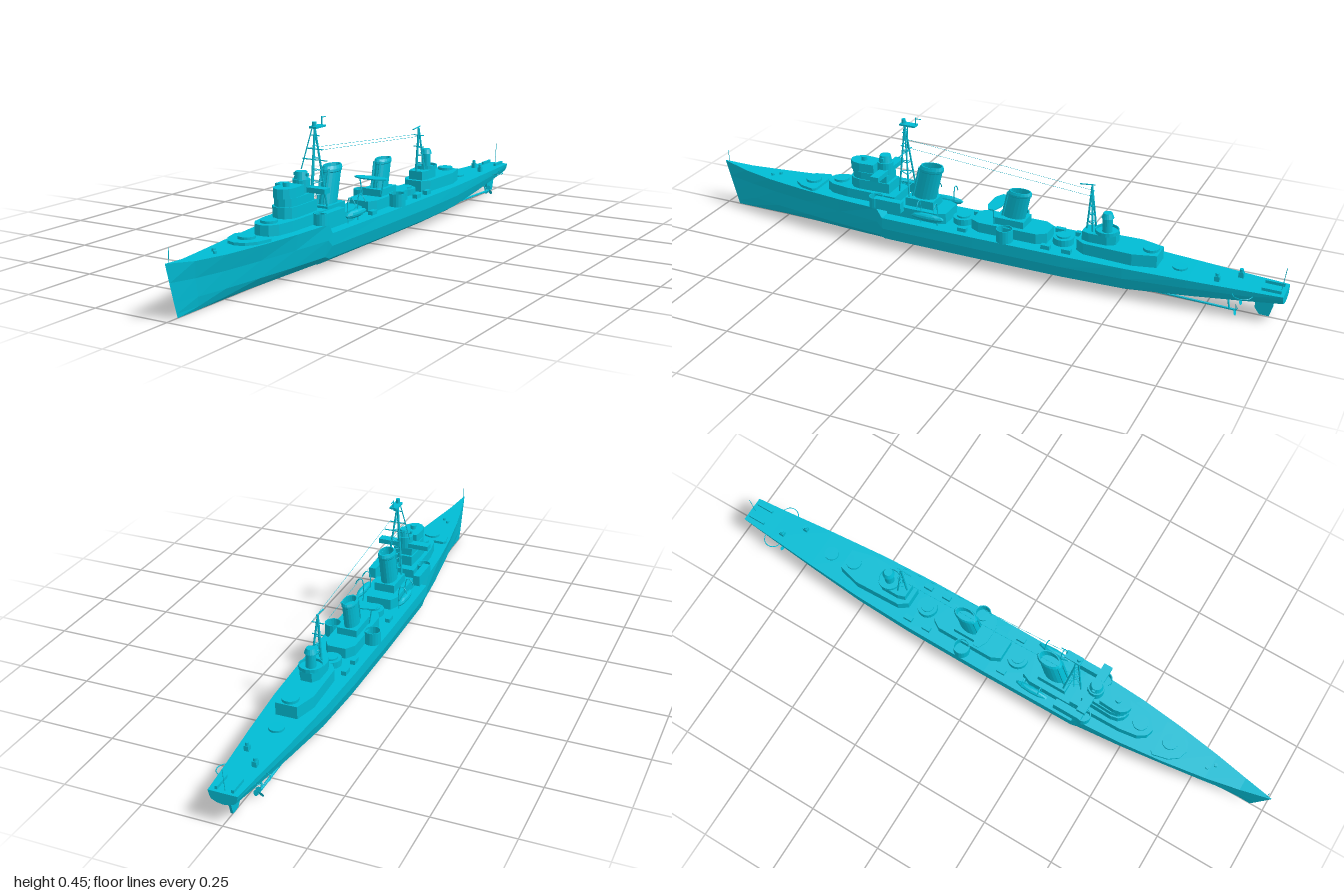
import * as THREE from 'three';

const mat = new THREE.MeshStandardMaterial({ color: 0x00bcd4, flatShading: true, side: THREE.DoubleSide });
const V = (x, y, z) => new THREE.Vector3(x, y, z);

export function createModel() {
  const ship = new THREE.Group();
  ship.name = 'warship';

  const add = (name, geo, x = 0, y = 0, z = 0) => {
    const m = new THREE.Mesh(geo, mat);
    m.name = name;
    m.position.set(x, y, z);
    ship.add(m);
    return m;
  };
  const box = (name, w, h, d, x, y, z) => add(name, new THREE.BoxGeometry(w, h, d), x, y + h / 2, z);
  const drum = (name, r, h, x, y, z, rTop = r, n = 18) =>
    add(name, new THREE.CylinderGeometry(rTop, r, h, n), x, y + h / 2, z);
  const rod = (name, a, b, r) => {
    const d = b.clone().sub(a);
    const m = add(name, new THREE.CylinderGeometry(r, r, d.length(), 6));
    m.position.copy(a).add(b).multiplyScalar(0.5);
    m.quaternion.setFromUnitVectors(V(0, 1, 0), d.normalize());
    return m;
  };
  // symmetric block extruded upwards from a half outline of [x, z]
  const house = (name, half, y, h) => {
    const all = [...half, ...half.slice().reverse().map(([x, z]) => [-x, z])];
    const s = new THREE.Shape(all.map(([x, z]) => new THREE.Vector2(x, -z)));
    const g = new THREE.ExtrudeGeometry(s, { depth: h, bevelEnabled: false });
    return add(name, g.rotateX(-Math.PI / 2), 0, y, 0);
  };
  // open tub with a floor
  const tub = (name, r, h, x, y, z) => add(name, new THREE.LatheGeometry(
    [[0, 0], [r, 0], [r, h], [r - 0.003, h], [r - 0.003, h * 0.3], [0, h * 0.3]]
      .map(p => new THREE.Vector2(...p)), 18), x, y, z);

  // Hull stations: z, deck half width, deck height, bilge half width, keel height
  const stations = [
    [0.955, 0.001, 0.16, 0.001, 0], [0.87, 0.022, 0.148, 0.012, 0], [0.77, 0.044, 0.144, 0.03, 0],
    [0.64, 0.066, 0.143, 0.051, 0], [0.5, 0.082, 0.143, 0.072, 0], [0.35, 0.091, 0.143, 0.089, 0],
    [0.33, 0.092, 0.112, 0.091, 0], [0, 0.094, 0.111, 0.094, 0], [-0.3, 0.092, 0.11, 0.092, 0],
    [-0.5, 0.085, 0.108, 0.084, 0.004], [-0.7, 0.07, 0.105, 0.068, 0.025], [-0.88, 0.054, 0.102, 0.052, 0.048],
    [-0.99, 0.045, 0.101, 0.042, 0.064]];
  const pos = [], idx = [], n = 9;
  stations.forEach(([z, w, deck, b, k]) => {
    const rise = f => k + (deck - k) * f;
    const half = [[w, deck], [b, rise(0.65)], [b * 0.86, rise(0.28)], [b * 0.45, rise(0.08)]];
    const ring = [...half, [0, k], ...half.slice().reverse().map(([x, y]) => [-x, y])];
    const rake = 0.045 * Math.max(0, (z - 0.6) / 0.355);
    ring.forEach(([x, y]) => pos.push(x, y, z + rake * y / 0.16));
  });
  for (let i = 0; i < stations.length - 1; i++)
    for (let j = 0; j < n; j++) {
      const a = i * n + j, b = i * n + (j + 1) % n;
      idx.push(a, b, a + n, b, b + n, a + n);
    }
  const last = (stations.length - 1) * n;
  for (let j = 1; j < n - 1; j++) idx.push(last, last + j, last + j + 1);
  const hull = new THREE.BufferGeometry();
  hull.setAttribute('position', new THREE.Float32BufferAttribute(pos, 3));
  hull.setIndex(idx);
  hull.computeVertexNormals();
  add('hull', hull);

  // Foredeck: breakwater, gun bases, bow rail
  house('breakwater', [[0, 0.70], [0.03, 0.69], [0.052, 0.66], [0.064, 0.61], [0.06, 0.61],
    [0.048, 0.655], [0.028, 0.683], [0, 0.692]].slice(0, 4).concat([[0.055, 0.6]]), 0.14, 0.012);
  drum('forwardGunBase', 0.026, 0.01, 0, 0.15, 0.64);
  house('bridgeBase', [[0, 0.575], [0.025, 0.567], [0.043, 0.54], [0.052, 0.48], [0.055, 0.3]], 0.14, 0.036);
  drum('raisedGunBase', 0.026, 0.01, 0, 0.174, 0.53);
  for (const z of [0.8, 0.78]) drum('capstan', 0.006, 0.01, z > 0.79 ? 0.01 : -0.01, 0.142, z);

  // Bridge tower
  const bow = (w, front, back) => [[0, front], [w * 0.5, front - 0.006], [w * 0.87, front - 0.022],
    [w, front - 0.045], [w * 0.9, back]];
  house('bridgeLower', bow(0.04, 0.485, 0.33), 0.175, 0.035);
  house('bridgeMiddle', bow(0.036, 0.48, 0.34), 0.21, 0.025);
  house('bridgeUpper', bow(0.034, 0.487, 0.39), 0.235, 0.03);
  house('bridgeWings', [[0.089, 0.37], [0.089, 0.34]], 0.237, 0.016);
  drum('directorBase', 0.027, 0.04, 0, 0.235, 0.36);
  drum('director', 0.023, 0.026, 0, 0.272, 0.36, 0.018);
  box('rangefinder', 0.05, 0.009, 0.01, 0, 0.284, 0.36);
  drum('bridgeSight', 0.01, 0.013, 0, 0.265, 0.44);

  // Side gun platforms, boats and davits
  for (const s of [1, -1]) {
    box('sideGallery', 0.024, 0.036, 0.1, s * 0.08, 0.142, 0.31);
    tub('sideGunTub', 0.024, 0.036, s * 0.07, 0.142, 0.36);
    const boat = add('boat', new THREE.SphereGeometry(1, 10, 6), s * 0.075, 0.14, 0.17);
    boat.scale.set(0.012, 0.013, 0.06);
    for (const z of [0.14, 0.2]) {
      const curve = new THREE.CatmullRomCurve3([V(s * 0.065, 0.11, z), V(s * 0.063, 0.17, z),
        V(s * 0.07, 0.195, z), V(s * 0.083, 0.19, z), V(s * 0.092, 0.172, z)]);
      add('davit', new THREE.TubeGeometry(curve, 10, 0.0018, 5));
    }
  }

  // Deckhouses amidships and aft
  house('funnelHouse', [[0.055, 0.33], [0.055, 0.15], [0.042, 0.12]], 0.105, 0.042);
  house('midHouse', [[0.035, 0.03], [0.05, 0], [0.05, -0.2], [0.03, -0.23]], 0.105, 0.04);
  house('aftHouse', [[0.03, -0.33], [0.05, -0.36], [0.055, -0.52], [0.035, -0.595]], 0.103, 0.044);
  for (const z of [0.075, -0.275]) {
    drum('torpedoBase', 0.034, 0.024, 0, 0.108, z);
    drum('torpedoPivot', 0.022, 0.008, 0, 0.13, z);
  }
  for (const s of [1, -1]) {
    tub('midGunTub', 0.027, 0.045, s * 0.068, 0.108, -0.1);
    for (const z of [0.05, -0.24, -0.31]) box('deckLocker', 0.016, 0.016, 0.03, s * 0.064, 0.108, z);
  }

  // Funnels: hollow ovals leaning aft
  const funnel = (z, y, h, w, l, lean) => {
    const g = new THREE.LatheGeometry([[1, 0], [1, 0.86], [1.08, 0.88], [1.08, 0.93], [0.96, 1], [0.84, 1],
      [0.84, 0.8], [0, 0.8]].map(p => new THREE.Vector2(...p)), 20);
    g.scale(w, h, l);
    const p = g.attributes.position;
    for (let i = 0; i < p.count; i++) p.setZ(i, p.getZ(i) - lean * p.getY(i) / h);
    g.computeVertexNormals();
    add('funnel', g, 0, y, z);
    for (const s of [1, -1])
      rod('steamPipe', V(s * w * 0.5, y, z + l), V(s * w * 0.5, y + h * 0.95, z + l - lean), 0.004);
  };
  funnel(0.222, 0.145, 0.145, 0.025, 0.04, 0.035);
  funnel(-0.1, 0.143, 0.117, 0.022, 0.038, 0.025);
  house('funnelFoot', [[0.035, 0.27], [0.035, 0.17]], 0.145, 0.03);
  house('funnelFoot', [[0.034, -0.05], [0.034, -0.15]], 0.143, 0.025);
  // Searchlight platform ahead of the after funnel
  house('searchlightPlatform', [[0.03, -0.025], [0.06, -0.04], [0.06, -0.06], [0.025, -0.07]], 0.203, 0.004);
  for (const s of [1, -1]) rod('platformLeg', V(s * 0.035, 0.14, -0.05), V(s * 0.045, 0.204, -0.05), 0.002);

  // After control position and gun base
  house('aftControl', [[0.025, -0.345], [0.033, -0.37], [0.033, -0.43], [0.018, -0.455]], 0.147, 0.03);
  tub('aftPlatform', 0.038, 0.012, 0, 0.177, -0.42);
  drum('aftPedestal', 0.016, 0.05, 0, 0.178, -0.42);
  drum('aftDirector', 0.02, 0.016, 0, 0.228, -0.42, 0.014);
  drum('aftGunBase', 0.026, 0.01, 0, 0.146, -0.565);
  drum('sternGunBase', 0.024, 0.008, 0, 0.104, -0.66);

  // Tripod masts with rungs and yards
  const mast = (name, z, y0, top, spread, legBack, yards) => {
    const head = V(0, top, z);
    const feet = [V(spread, y0, z - legBack), V(-spread, y0, z - legBack), V(0, y0, z + legBack)];
    feet.forEach(f => rod(name + 'Leg', f, head, 0.0032));
    for (let k = 1; k < 6; k++) {
      const ring = feet.map(f => f.clone().lerp(head, k / 6.5));
      ring.forEach((p, i) => rod(name + 'Brace', p, ring[(i + 1) % 3], 0.0016));
    }
    yards.forEach(([y, w]) => rod(name + 'Yard', V(-w, y, z), V(w, y, z), 0.0018));
  };
  mast('foremast', 0.285, 0.175, 0.42, 0.027, 0.025, [[0.395, 0.016], [0.353, 0.027], [0.32, 0.045]]);
  box('foremastTop', 0.026, 0.006, 0.055, 0, 0.417, 0.27);
  rod('foreTopmast', V(0, 0.42, 0.245), V(0, 0.448, 0.245), 0.002);
  rod('foreGaff', V(0, 0.445, 0.245), V(0, 0.445, 0.225), 0.0015);
  rod('foreStay', V(-0.012, 0.418, 0.28), V(-0.04, 0.29, 0.3), 0.0018);
  drum('foreLamp', 0.007, 0.015, 0, 0.422, 0.288);
  mast('mainmast', -0.365, 0.147, 0.325, 0.02, 0.015, [[0.3, 0.02], [0.26, 0.02]]);
  rod('mainGaff', V(0, 0.325, -0.325), V(0, 0.33, -0.375), 0.002);
  for (const s of [1, -1])
    rod('aerial', V(s * 0.027, 0.353, 0.285), V(s * 0.02, 0.3, -0.365), 0.0005);

  // Stern fittings: throwers, racks, flagstaffs and guard rails
  [[-0.025, -0.845], [0.03, -0.785]].forEach(([x, z]) => {
    box('charge thrower', 0.014, 0.018, 0.016, x, 0.102, z);
    drum('throwerDrum', 0.006, 0.01, x, 0.12, z);
  });
  for (const s of [1, -1]) {
    box('sternRack', 0.008, 0.01, 0.06, s * 0.025, 0.101, -0.95);
    const guard = add('propellerGuard', new THREE.TorusGeometry(0.03, 0.0015, 5, 14, Math.PI), s * 0.05, 0.085, -0.87);
    guard.rotation.set(Math.PI / 2, 0, -s * Math.PI / 2);
  }
  rod('bowStaff', V(0, 0.155, 0.985), V(0, 0.2, 0.985), 0.001);
  rod('sternStaff', V(0, 0.1, -0.975), V(0, 0.175, -0.985), 0.001);

  // Shafts, propellers and rudder
  for (const s of [1, -1]) {
    rod('propellerShaft', V(s * 0.03, 0.025, -0.5), V(s * 0.034, 0.02, -0.85), 0.004);
    rod('shaftStrut', V(s * 0.034, 0.02, -0.83), V(s * 0.025, 0.062, -0.82), 0.003);
    for (let k = 0; k < 3; k++) {
      const blade = add('propellerBlade', new THREE.CircleGeometry(0.009, 8).translate(0, 0.01, 0), s * 0.034, 0.02, -0.85);
      blade.rotation.set(0, 0.4, k * Math.PI * 2 / 3, 'ZYX');
    }
  }
  const blade = new THREE.Shape([[-0.9, 0.075], [-0.9, 0.025], [-0.915, 0.005], [-0.945, 0.004],
    [-0.955, 0.04], [-0.955, 0.075]].map(p => new THREE.Vector2(-p[0], p[1])));
  add('rudder', new THREE.ExtrudeGeometry(blade, { depth: 0.008, bevelEnabled: false })
    .translate(0, 0, -0.004).rotateY(Math.PI / 2));

  return ship;
}
